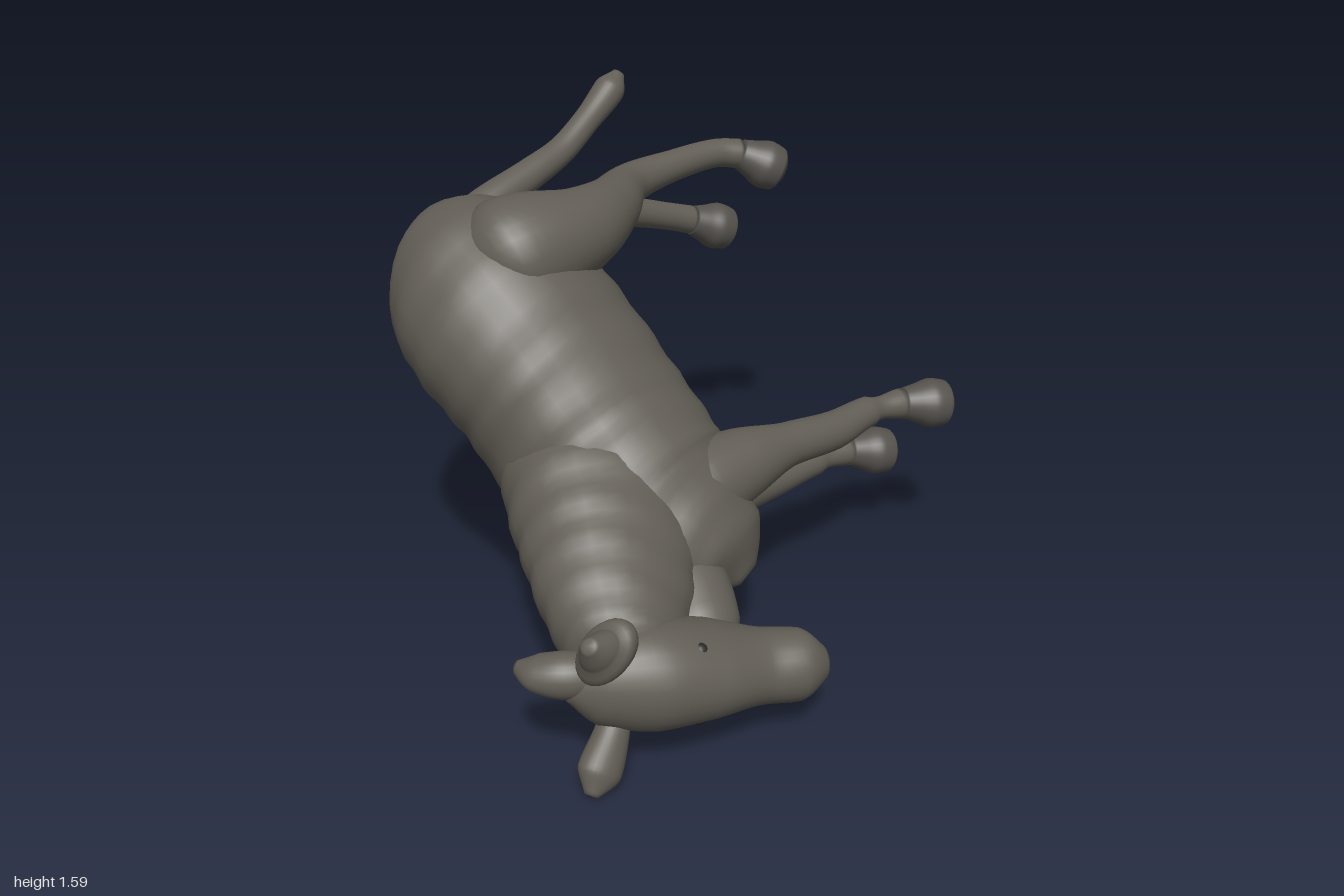
import * as THREE from 'three';

const hide = new THREE.MeshStandardMaterial({ color: 0x625e56 });
const hoofColor = new THREE.MeshStandardMaterial({ color: 0x55524d });
const dark = new THREE.MeshStandardMaterial({ color: 0x2b2926 });
const V = (a) => new THREE.Vector3(a[0], a[1], a[2]);

// Closed skin over elliptical sections [x, y, z, halfWidth, halfHeight];
// up is the direction of the height, ripple adds shallow folds.
function loft(name, sections, up = [0, 1, 0], material = hide, ripple = 0) {
  const sides = 28, steps = (sections.length - 1) * 7;
  const path = new THREE.CatmullRomCurve3(sections.map(V));
  const size = new THREE.CatmullRomCurve3(sections.map((s) => new THREE.Vector3(s[3], s[4] ?? s[3], 0)));
  const pos = [], index = [];
  for (let i = 0; i <= steps; i++) {
    const c = path.getPoint(i / steps), r = size.getPoint(i / steps);
    const t = path.getTangent(i / steps);
    const u = V(up).addScaledVector(t, -V(up).dot(t)).normalize();
    const s = u.clone().cross(t);
    for (let j = 0; j < sides; j++) {
      const a = (j / sides) * Math.PI * 2;
      const k = 1 + ripple * Math.sin(i * 1.4 + 2 * Math.sin(a * 2)) + ripple * 0.6 * Math.sin(a * 5 + i * 0.3);
      const p = c.clone().addScaledVector(s, Math.cos(a) * Math.max(r.x, 0.004) * k)
        .addScaledVector(u, Math.sin(a) * Math.max(r.y, 0.004) * k);
      pos.push(p.x, p.y, p.z);
      if (i < steps) {
        const n = (j + 1) % sides, A = i * sides + j, B = i * sides + n;
        index.push(A, B, B + sides, A, B + sides, A + sides);
      }
    }
  }
  // end caps
  const first = pos.length / 3, last = steps * sides;
  pos.push(...sections[0].slice(0, 3), ...sections.at(-1).slice(0, 3));
  for (let j = 0; j < sides; j++) {
    const n = (j + 1) % sides;
    index.push(first, n, j, first + 1, last + j, last + n);
  }
  const g = new THREE.BufferGeometry();
  g.setAttribute('position', new THREE.Float32BufferAttribute(pos, 3));
  g.setIndex(index);
  g.computeVertexNormals();
  const mesh = new THREE.Mesh(g, material);
  mesh.name = name;
  return mesh;
}

// Leg with a blunt, flared hoof from the last joint to the tip
function leg(name, sections, tip) {
  const group = new THREE.Group();
  group.name = name;
  const a = V(sections.at(-1)), b = V(tip);
  const hoof = [[0, 0.05], [0.3, 0.066], [0.6, 0.082], [0.88, 0.075], [1, 0.045]]
    .map(([k, r]) => [...a.clone().lerp(b, k).toArray(), r]);
  group.add(loft(name + 'Limb', sections), loft(name + 'Hoof', hoof, [0, 1, 0], hoofColor));
  return group;
}

export function createModel() {
  const cow = new THREE.Group();
  cow.name = 'cow';

  // Trunk, from rump to chest
  cow.add(loft('body', [
    [-0.755, 1.12, 0.18, 0.07, 0.06], [-0.69, 1.12, 0.19, 0.2, 0.19],
    [-0.55, 1.08, 0.215, 0.29, 0.3], [-0.39, 0.97, 0.22, 0.31, 0.345],
    [-0.25, 0.83, 0.2, 0.3, 0.345], [-0.1, 0.65, 0.19, 0.305, 0.34],
    [0.08, 0.5, 0.2, 0.29, 0.33], [0.23, 0.42, 0.19, 0.23, 0.28],
    [0.34, 0.36, 0.16, 0.155, 0.19], [0.41, 0.32, 0.15, 0.03, 0.05],
  ], [0, 0, 1], hide, 0.01));

  // Neck, rising from the withers
  cow.add(loft('neck', [
    [-0.11, 0.65, 0.22, 0.2, 0.26], [-0.02, 0.57, 0.32, 0.24, 0.29],
    [0.12, 0.47, 0.46, 0.22, 0.27], [0.24, 0.39, 0.6, 0.185, 0.23],
    [0.34, 0.33, 0.72, 0.145, 0.16], [0.39, 0.3, 0.79, 0.04, 0.04],
  ], [-0.7, 0.5, 0.6], hide, 0.016));
  // Throat, from chest to jaw
  cow.add(loft('throat', [
    [0.22, 0.4, 0.3, 0.08], [0.32, 0.35, 0.36, 0.13, 0.12],
    [0.42, 0.29, 0.44, 0.12, 0.105], [0.5, 0.25, 0.5, 0.06],
  ]));

  // Head, from poll to muzzle
  const face = [0.77, 0, 0.63];
  cow.add(loft('head', [
    [0.28, 0.31, 0.9, 0.04, 0.04], [0.33, 0.3, 0.83, 0.12, 0.1],
    [0.42, 0.28, 0.69, 0.155, 0.155], [0.5, 0.25, 0.55, 0.135, 0.16],
    [0.6, 0.22, 0.42, 0.105, 0.12], [0.685, 0.21, 0.34, 0.105, 0.1],
    [0.73, 0.2, 0.28, 0.05, 0.05],
  ], face));
  cow.add(loft('pollTuft', [
    [0.33, 0.33, 0.83, 0.06], [0.27, 0.335, 0.89, 0.065], [0.2, 0.335, 0.92, 0.06, 0.05], [0.14, 0.335, 0.93, 0.02],
  ]));
  cow.add(loft('leftEar', [
    [0.36, 0.34, 0.78, 0.04], [0.385, 0.41, 0.83, 0.065, 0.05],
    [0.395, 0.46, 0.9, 0.065, 0.05], [0.4, 0.51, 0.96, 0.02],
  ], face));
  cow.add(loft('rightEar', [
    [0.37, 0.24, 0.78, 0.035], [0.38, 0.16, 0.83, 0.05, 0.045],
    [0.38, 0.07, 0.89, 0.065, 0.05], [0.385, 0.02, 0.94, 0.02],
  ], face));
  for (const [side, y] of [['left', 0.37], ['right', 0.155]]) {
    const eye = new THREE.Mesh(new THREE.SphereGeometry(0.022, 14, 10), dark);
    eye.name = side + 'Eye';
    eye.position.set(0.54, y, 0.64);
    cow.add(eye);
  }

  // Hind legs, with heavy thighs and a hock bend
  cow.add(leg('leftHindLeg', [
    [-0.44, 1.15, 0.36, 0.08], [-0.37, 1.2, 0.24, 0.185], [-0.28, 1.24, 0.03, 0.135],
    [-0.29, 1.26, -0.15, 0.1], [-0.35, 1.28, -0.36, 0.068], [-0.31, 1.3, -0.56, 0.052],
    [-0.25, 1.31, -0.74, 0.048], [-0.2, 1.3, -0.81, 0.05],
  ], [-0.09, 1.23, -0.91]));
  cow.add(leg('rightHindLeg', [
    [-0.55, 1.02, 0.32, 0.08], [-0.56, 0.98, 0.18, 0.14], [-0.53, 0.98, 0, 0.14],
    [-0.53, 1.03, -0.18, 0.11], [-0.55, 1.13, -0.39, 0.066], [-0.51, 1.1, -0.58, 0.052],
    [-0.45, 1.05, -0.75, 0.048], [-0.41, 1.02, -0.84, 0.05],
  ], [-0.33, 0.96, -0.98]));

  // Front legs
  cow.add(leg('leftFrontLeg', [
    [0.16, 0.54, 0.3, 0.06], [0.22, 0.56, 0.15, 0.14], [0.29, 0.59, -0.02, 0.11],
    [0.35, 0.6, -0.18, 0.07], [0.41, 0.585, -0.38, 0.062], [0.45, 0.595, -0.55, 0.05],
    [0.51, 0.59, -0.68, 0.05],
  ], [0.62, 0.57, -0.81]));
  cow.add(leg('rightFrontLeg', [
    [0.06, 0.41, 0.27, 0.06], [0.09, 0.38, 0.15, 0.14], [0.13, 0.35, -0.02, 0.105],
    [0.15, 0.36, -0.18, 0.075], [0.2, 0.35, -0.4, 0.06], [0.25, 0.35, -0.58, 0.05],
    [0.3, 0.34, -0.73, 0.05],
  ], [0.4, 0.31, -0.87]));

  // Tail with a tuft
  cow.add(loft('tail', [
    [-0.66, 1.18, 0.24, 0.05], [-0.62, 1.26, 0.08, 0.06], [-0.58, 1.33, -0.13, 0.052],
    [-0.56, 1.38, -0.28, 0.046], [-0.548, 1.45, -0.4, 0.044],
    [-0.538, 1.53, -0.52, 0.052], [-0.53, 1.58, -0.57, 0.02],
  ]));
  return cow;
}
